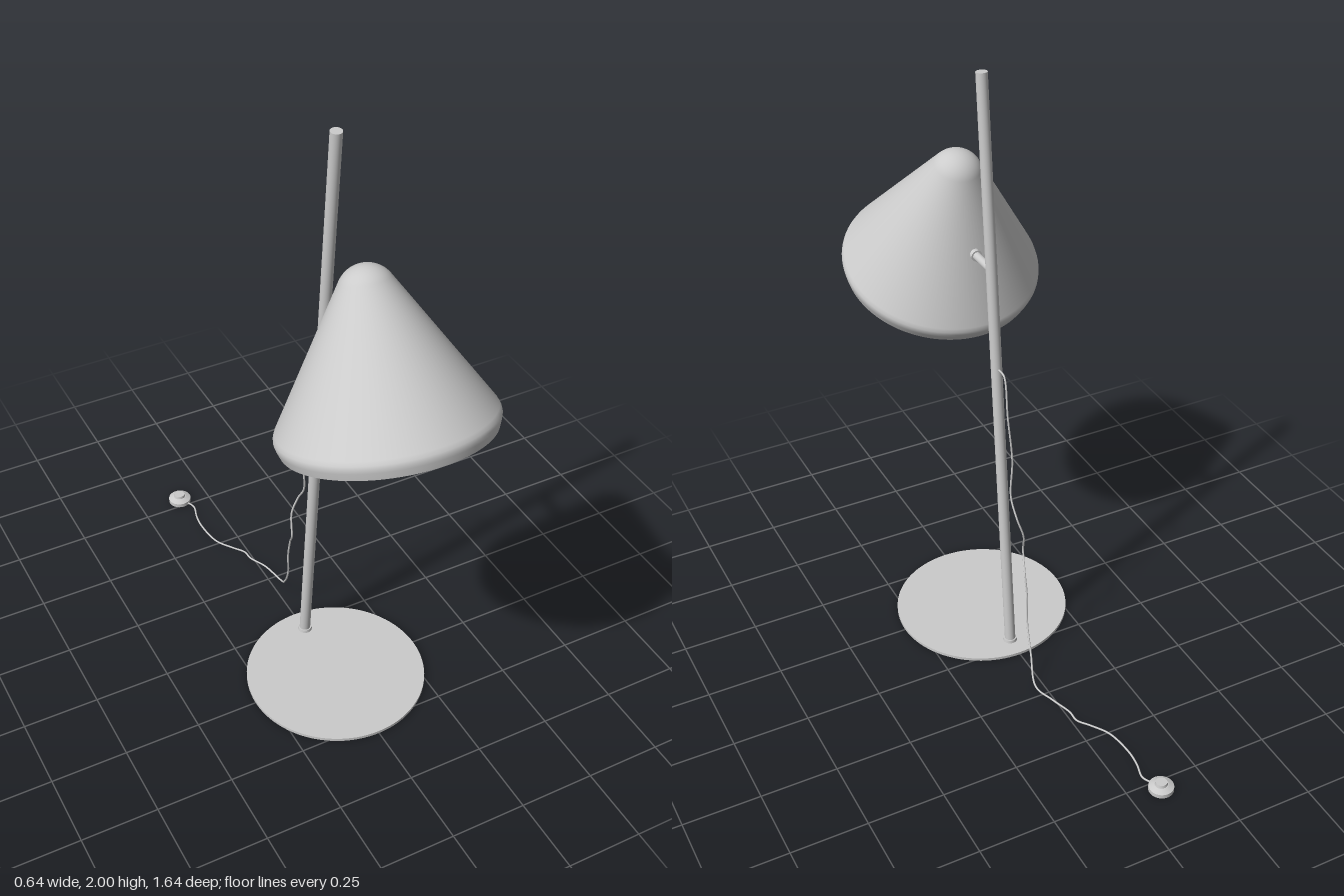
import * as THREE from 'three';

const material = new THREE.MeshStandardMaterial({ color: 0xcccccc });

function add(parent, name, geometry, x = 0, y = 0, z = 0) {
  const mesh = new THREE.Mesh(geometry, material);
  mesh.name = name;
  mesh.position.set(x, y, z);
  parent.add(mesh);
  return mesh;
}

// Round bar between two points
function bar(parent, name, radius, from, to) {
  const dir = to.clone().sub(from);
  const mesh = add(parent, name, new THREE.CylinderGeometry(radius, radius, dir.length(), 32));
  mesh.position.copy(from).add(to).multiplyScalar(0.5);
  mesh.quaternion.setFromUnitVectors(new THREE.Vector3(0, 1, 0), dir.normalize());
  return mesh;
}

const v = (x, y, z) => new THREE.Vector3(x, y, z);

export function createModel() {
  const lamp = new THREE.Group();
  lamp.name = 'floorLamp';

  // Thin round base and leaning pole
  add(lamp, 'base', new THREE.CylinderGeometry(0.295, 0.295, 0.01, 96), 0, 0.005, 0.252);
  add(lamp, 'poleCollar', new THREE.CylinderGeometry(0.022, 0.024, 0.012, 32), 0, 0.014, 0.032);
  bar(lamp, 'pole', 0.018, v(0, 0.008, 0.031), v(0, 1.998, 0.203));

  // Arm holding the shade, with a small flange where they meet
  bar(lamp, 'arm', 0.013, v(0, 1.385, 0.15), v(0, 1.385, 0.3));
  bar(lamp, 'armFlange', 0.018, v(0, 1.385, 0.25), v(0, 1.385, 0.268));

  // Tilted cone shade: turned-in rim, straight flank, rounded crown
  const shade = new THREE.Group();
  shade.name = 'shade';
  shade.position.set(0, 1.21, 0.53);
  shade.rotation.x = -THREE.MathUtils.degToRad(20);
  lamp.add(shade);

  const half = Math.PI / 6;
  const crown = 0.085, crownY = 0.412;
  const profile = [[0.308, 0], [0.316, 0.022], [0.319, 0.034], [0.318, 0.044], [0.313, 0.056]]
    .map(([r, y]) => new THREE.Vector2(r, y));
  for (let i = 0; i <= 14; i++) {
    const a = half + (Math.PI / 2 - half) * (i / 14);
    profile.push(new THREE.Vector2(crown * Math.cos(a), crownY + crown * Math.sin(a)));
  }
  add(shade, 'shadeShell', new THREE.LatheGeometry(profile, 96));
  const diffuser = add(shade, 'diffuser', new THREE.CircleGeometry(0.308, 96));
  diffuser.rotation.x = Math.PI / 2;

  // Cord dropping from the pole and trailing over the floor
  const cordPath = new THREE.CatmullRomCurve3([
    [0, 1.055, 0.105], [0, 1.05, 0.068], [0.004, 0.92, 0.037], [-0.004, 0.76, 0.022],
    [0.004, 0.625, 0.016], [0, 0.557, -0.02], [-0.018, 0.49, -0.03], [-0.027, 0.414, -0.01],
    [-0.012, 0.345, -0.053], [-0.01, 0.27, -0.072], [-0.004, 0.175, -0.085], [0.01, 0.08, -0.14],
    [0.032, 0.012, -0.215], [0.014, 0.014, -0.3], [-0.012, 0.008, -0.37], [-0.015, 0.005, -0.41],
    [-0.043, 0.005, -0.45], [-0.08, 0.004, -0.51], [-0.094, 0.004, -0.61],
    [-0.089, 0.004, -0.665], [-0.076, 0.005, -0.72], [-0.09, 0.007, -0.755],
  ].map((p) => v(...p)));
  add(lamp, 'cord', new THREE.TubeGeometry(cordPath, 260, 0.0032, 8));

  // Foot switch with a raised button
  const footSwitch = new THREE.Group();
  footSwitch.name = 'footSwitch';
  footSwitch.position.set(-0.105, 0, -0.783);
  lamp.add(footSwitch);
  add(footSwitch, 'switchBody', new THREE.CylinderGeometry(0.04, 0.04, 0.014, 40), 0, 0.007, 0);
  add(footSwitch, 'switchTop', new THREE.CylinderGeometry(0.022, 0.04, 0.008, 40), 0, 0.018, 0);
  add(footSwitch, 'switchButton', new THREE.CylinderGeometry(0.018, 0.02, 0.01, 32), 0, 0.026, 0);

  return lamp;
}
